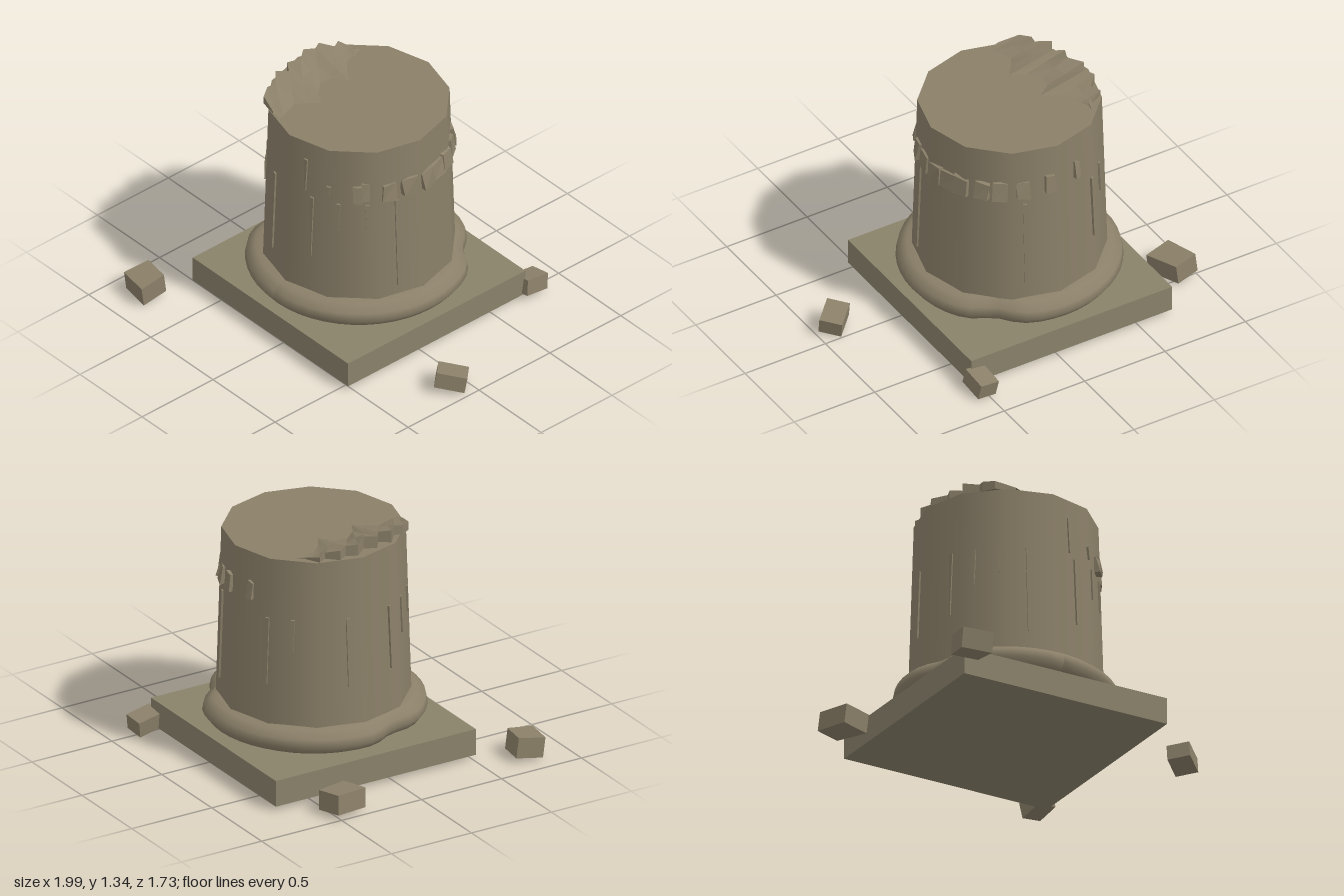
import * as THREE from 'three';

const CX = -0.083, CZ = -0.103;          // column axis
const R_TOP = 0.49, R_BOTTOM = 0.52, Y_TOP = 1.28, Y_BOTTOM = 0.3;
const rad = THREE.MathUtils.degToRad;

// Distance from the axis to the twelve-sided shaft wall
function wallRadius(deg, y) {
  const r = THREE.MathUtils.mapLinear(y, Y_BOTTOM, Y_TOP, R_BOTTOM, R_TOP);
  const within = ((deg % 30) + 30) % 30 - 15;
  return r * Math.cos(rad(15)) / Math.cos(rad(within));
}

export function createModel() {
  const group = new THREE.Group();
  const stone = new THREE.MeshStandardMaterial({ color: 0x8b8069 });
  stone.name = 'weathered stone';
  const plinthStone = new THREE.MeshStandardMaterial({ color: 0x89826a });
  plinthStone.name = 'plinth stone';
  const chipped = new THREE.MeshStandardMaterial({ color: 0x8b8069, flatShading: true, side: THREE.DoubleSide });
  chipped.name = 'chipped stone';

  let seed = 7;
  const jitter = (amount) => {
    seed = (seed * 16807) % 2147483647;
    return (seed / 2147483647 - 0.5) * 2 * amount;
  };

  const add = (name, geometry, material, x = 0, y = 0, z = 0) => {
    const mesh = new THREE.Mesh(geometry, material);
    mesh.name = name;
    mesh.position.set(x, y, z);
    group.add(mesh);
    return mesh;
  };

  // Square plinth
  add('plinth', new THREE.BoxGeometry(1.25, 0.15, 1.25), plinthStone, -0.085, 0.106, -0.105);

  // Tapered shaft, twelve sides
  add('shaft', new THREE.CylinderGeometry(R_TOP, R_BOTTOM, Y_TOP - Y_BOTTOM, 12), stone,
    CX, (Y_TOP + Y_BOTTOM) / 2, CZ);

  // Base moulding, worn inward in two places
  const profile = [[0.4, 0.18], [0.52, 0.183], [0.575, 0.21], [0.605, 0.25], [0.596, 0.295], [0.55, 0.33], [0.48, 0.335]]
    .map(([r, y]) => new THREE.Vector2(r, y));
  const ring = new THREE.LatheGeometry(profile, 48);
  const p = ring.attributes.position;
  for (let i = 0; i < p.count; i++) {
    const x = p.getX(i), z = p.getZ(i), r = Math.hypot(x, z);
    let dent = 0;
    for (const [deg, depth] of [[162, 0.05], [-50, 0.05]]) {
      const d = Math.acos(THREE.MathUtils.clamp((x * Math.cos(rad(deg)) + z * Math.sin(rad(deg))) / r, -1, 1));
      dent += depth * Math.exp(-((d / 0.2) ** 2));
    }
    const k = r > 0.51 ? (r - dent) / r : 1;
    p.setX(i, x * k);
    p.setZ(i, z * k);
  }
  ring.computeVertexNormals();
  add('baseMoulding', ring, stone, CX, 0, CZ);

  // Broken crest on the rim: [z, outer x, inner x, height]
  const crest = [
    [-0.42, -0.40, -0.39, 1.28], [-0.37, -0.43, -0.40, 1.29], [-0.33, -0.51, -0.38, 1.31],
    [-0.28, -0.48, -0.37, 1.315], [-0.22, -0.54, -0.31, 1.335], [-0.17, -0.51, -0.23, 1.34],
    [-0.11, -0.54, -0.31, 1.345], [-0.04, -0.48, -0.32, 1.352], [0.03, -0.51, -0.26, 1.345],
    [0.07, -0.45, -0.18, 1.34], [0.13, -0.49, -0.23, 1.35], [0.19, -0.42, -0.27, 1.335],
    [0.24, -0.43, -0.25, 1.33], [0.30, -0.39, -0.23, 1.32], [0.33, -0.28, -0.22, 1.295],
  ];
  const verts = [], faces = [];
  crest.forEach(([z, xo, xi, h], i) => {
    const xm = (xo + xi) / 2;
    verts.push(xo, 1.275, z, xo, h, z, xm, 1.28 + (h - 1.28) * 0.45 + jitter(0.008), z, xi, 1.279, z);
    if (i === 0) return;
    for (let j = 0; j < 3; j++) {
      const a = (i - 1) * 4 + j, b = a + 4;
      faces.push(a, b, b + 1, a, b + 1, a + 1);
    }
  });
  const crestGeo = new THREE.BufferGeometry();
  crestGeo.setAttribute('position', new THREE.Float32BufferAttribute(verts, 3));
  crestGeo.setIndex(faces);
  crestGeo.computeVertexNormals();
  add('brokenCrest', crestGeo, chipped);

  // Place a part on the shaft wall, facing outward
  const onWall = (name, geometry, deg, y, out = 0) => {
    const r = wallRadius(deg, y) + out;
    const mesh = add(name, geometry, chipped, CX + r * Math.cos(rad(deg)), y, CZ + r * Math.sin(rad(deg)));
    mesh.rotation.y = Math.PI / 2 - rad(deg);
  };

  // Narrow tapering streaks: [angle, bottom, top]
  const streaks = [
    [157, 0.58], [141, 0.73], [125, 0.79], [107, 0.45], [72, 0.56], [54, 0.77], [36, 0.76],
    [17, 0.39], [-68, 0.43], [-119, 0.56], [-135, 0.76], [-170, 0.55], [77, 0.97, 1.17], [60, 0.98, 1.05],
  ];
  for (const [deg, bottom, top = 0.94] of streaks) {
    const geo = new THREE.BoxGeometry(0.022, top - bottom, 0.02);
    const q = geo.attributes.position;
    for (let i = 0; i < q.count; i++) {
      if (q.getY(i) < 0) q.setX(i, q.getX(i) * 0.25);
      // follow the slope of the wall
      q.setZ(i, q.getZ(i) - q.getY(i) * 0.03);
    }
    onWall('streak', geo, deg, (top + bottom) / 2);
  }

  // Remains of the chipped band: [angle, width, middle height]
  const band = [
    [42, 0.05, 1.01], [37, 0.04, 1.03], [22, 0.08, 1.01], [8, 0.09, 1.01], [-6, 0.09, 1.01],
    [-17, 0.11, 1.01], [-27, 0.09, 1.02], [-41, 0.08, 1.02], [-53, 0.08, 1.03], [-67, 0.07, 1.04],
    [-84, 0.06, 1.05], [-105, 0.03, 1.06],
  ];
  for (const [deg, width, y] of band) {
    const geo = new THREE.BoxGeometry(width, 0.1, 0.045);
    const q = geo.attributes.position;
    const shifts = Array.from({ length: 8 }, () => [jitter(0.007), jitter(0.009), jitter(0.008)]);
    for (let i = 0; i < q.count; i++) {
      const k = (q.getX(i) > 0 ? 1 : 0) + (q.getY(i) > 0 ? 2 : 0) + (q.getZ(i) > 0 ? 4 : 0);
      const [dx, dy, dz] = shifts[k];
      const sink = k === 6 || k === 7 ? 0.015 : 0;
      q.setXYZ(i, q.getX(i) + dx, q.getY(i) + dy, q.getZ(i) + dz - sink);
    }
    onWall('bandChip', geo, deg, y, 0.004);
  }

  // Fallen rubble: position, size, rotation
  const rubble = [
    [-0.89, 0.08, -0.435, 0.165, 0.11, 0.205, 0.08, 0.23, -0.08],
    [-0.805, 0.083, 0.765, 0.175, 0.115, 0.155, 0.14, -0.16, -0.03],
    [0.887, 0.078, 0.095, 0.165, 0.09, 0.125, -0.1, 0.78, -0.17],
    [0.515, 0.072, -0.785, 0.115, 0.09, 0.15, -0.17, 0.05, 0.12],
  ];
  rubble.forEach(([x, y, z, w, h, d, rx, ry, rz], n) => {
    const geo = new THREE.BoxGeometry(w, h, d);
    const q = geo.attributes.position;
    for (let i = 0; i < q.count; i++) {
      // knock one corner edge in
      if (n < 2 && q.getX(i) > 0 && q.getZ(i) < 0) q.setX(i, q.getX(i) * 0.75);
    }
    add('rubble', geo, chipped, x, y, z).rotation.set(rx, ry, rz, 'YXZ');
  });

  return group;
}
